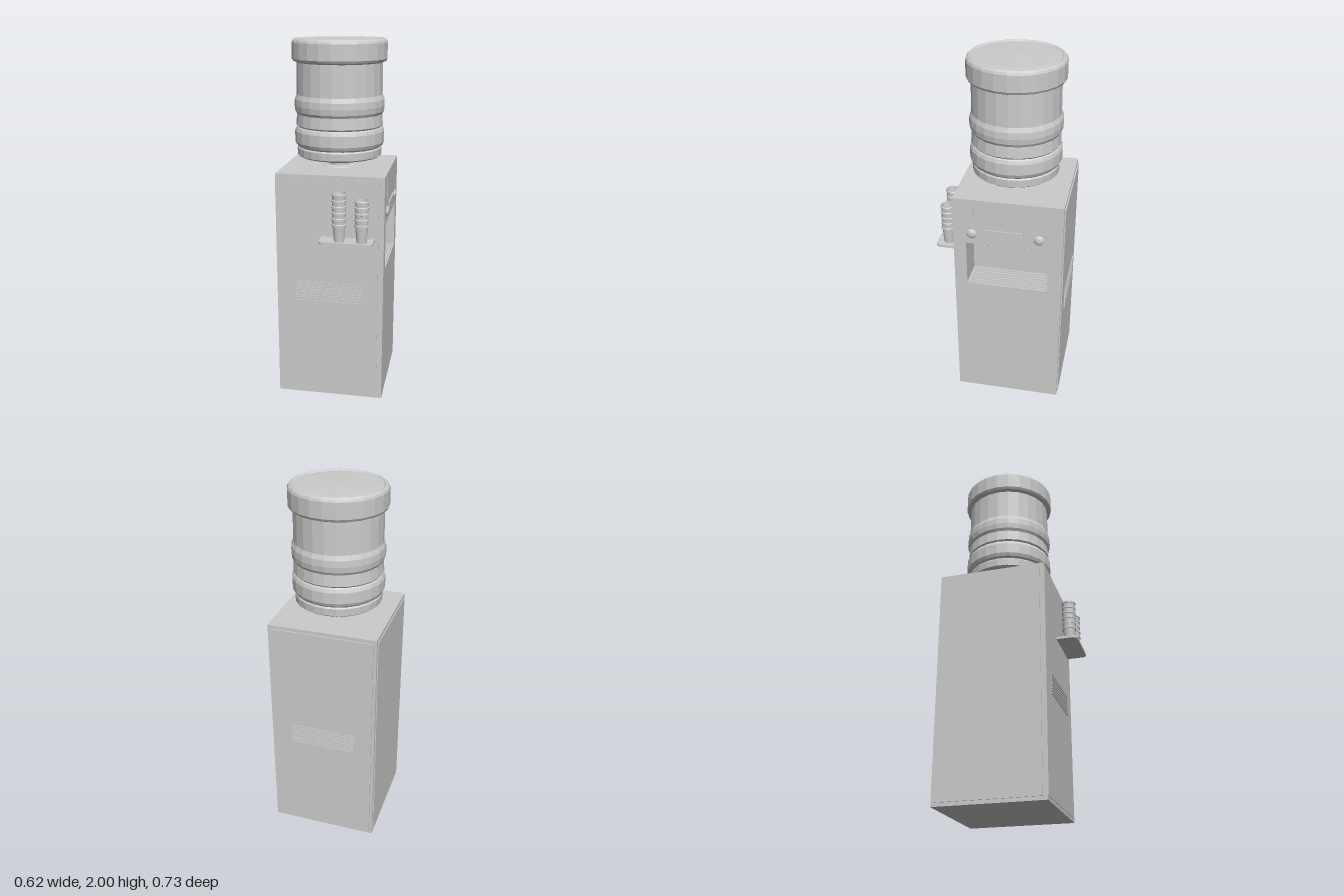
import * as THREE from 'three';
import { RoundedBoxGeometry } from 'three/addons/geometries/RoundedBoxGeometry.js';

const grey = new THREE.MeshStandardMaterial({ color: 0xcccccc });
const faceted = new THREE.MeshStandardMaterial({ color: 0xcccccc, flatShading: true, side: THREE.DoubleSide });

export function createModel() {
  const model = new THREE.Group();

  const add = (name, geometry, x = 0, y = 0, z = 0, material = grey) => {
    const mesh = new THREE.Mesh(geometry, material);
    mesh.name = name;
    mesh.position.set(x, y, z);
    model.add(mesh);
    return mesh;
  };
  // box given by its two extreme corners
  const box = (name, [x0, y0, z0], [x1, y1, z1]) =>
    add(name, new THREE.BoxGeometry(x1 - x0, y1 - y0, z1 - z0), (x0 + x1) / 2, (y0 + y1) / 2, (z0 + z1) / 2);
  const lathe = (name, points, sides, x, y, z) =>
    add(name, new THREE.LatheGeometry(points.map(p => new THREE.Vector2(...p)), sides), x, y, z, faceted);
  const rect = (Type, x0, y0, x1, y1) => new Type([[x0, y0], [x1, y0], [x1, y1], [x0, y1]]
    .map(p => new THREE.Vector2(...p)));

  // cabinet: solid rear block plus a side slab pierced by the dispensing recess
  box('cabinet', [-0.302, 0, -0.353], [0.13, 1.3, 0.245]);
  const side = rect(THREE.Shape, -0.245, 0, 0.353, 1.3);
  side.holes.push(rect(THREE.Path, -0.175, 0.765, 0.275, 1.03));
  const slab = new THREE.ExtrudeGeometry(side, { depth: 0.165, bevelEnabled: false });
  slab.rotateY(Math.PI / 2);
  add('dispenserSide', slab, 0.13);

  // thin outer panels
  box('frontPanel', [-0.302, 0.02, 0.24], [0.265, 1.28, 0.248]);
  box('backPanel', [-0.285, 0.02, -0.36], [0.275, 1.28, -0.35]);
  box('sidePanel', [-0.307, 0.02, -0.335], [-0.298, 1.28, 0.22]);

  // ventilation slats front and back
  for (const [name, z] of [['frontVent', 0.248], ['backVent', -0.36]])
    for (let i = 0; i < 8; i++)
      box(name, [-0.195, 0.572 + i * 0.0155, z - 0.005], [0.177, 0.581 + i * 0.0155, z + 0.005]);

  // drip grille on the recess floor
  for (let i = 0; i < 9; i++)
    box('dripGrille', [0.14 + i * 0.017, 0.76, -0.265], [0.149 + i * 0.017, 0.771, 0.165]);

  // control strip, trim line and knobs
  box('controlPanel', [0.29, 1.065, -0.14], [0.302, 1.125, 0.07]);
  box('trimLine', [0.29, 1.15, 0.129], [0.298, 1.28, 0.133]);
  for (const z of [0.142, -0.225]) {
    const knob = lathe('knob', [[0.028, 0], [0.028, 0.004], [0.022, 0.01], [0.012, 0.014], [0, 0.015]], 16, 0.294, 1.093, z);
    knob.rotation.z = -Math.PI / 2;
  }

  // taps hanging from the recess ceiling
  for (const z of [0.077, -0.167]) {
    add('tapMount', new THREE.BoxGeometry(0.05, 0.018, 0.05), 0.235, 1.021, z);
    add('tapSpout', new THREE.CylinderGeometry(0.016, 0.012, 0.04, 12), 0.235, 1.003, z);
    add('tapLever', new THREE.BoxGeometry(0.035, 0.008, 0.02), 0.265, 1.012, z);
  }

  // cup tray with rounded outer corners and raised rim
  const outline = (Type, x0, x1, z0, z1, r) => {
    const s = new Type();
    s.moveTo(x0, z0);
    s.lineTo(x0, z1 - r);
    s.quadraticCurveTo(x0, z1, x0 + r, z1);
    s.lineTo(x1 - r, z1);
    s.quadraticCurveTo(x1, z1, x1, z1 - r);
    s.lineTo(x1, z0);
    return s;
  };
  const tray = (name, hole, y, depth) => {
    const shape = outline(THREE.Shape, -0.045, 0.247, 0.24, 0.362, 0.03);
    if (hole) shape.holes.push(outline(THREE.Path, -0.022, 0.229, 0.25, 0.35, 0.004));
    const g = new THREE.ExtrudeGeometry(shape, { depth, bevelEnabled: false });
    g.rotateX(Math.PI / 2);
    add(name, g, 0, y, 0);
  };
  tray('cupTray', false, 0.957, 0.007);
  tray('trayRim', true, 0.964, 0.007);

  // two stacks of nested cups, open at the top
  for (const [x, rims] of [[0.06, 6], [0.182, 5]]) {
    const points = [[0, 0], [0.028, 0], [0.035, 0.088]];
    let y = 0.088;
    for (let i = 0; i < rims; i++) {
      points.push([0.04, y], [0.04, y + 0.009], [0.036, y + 0.012], [0.037, y + 0.032]);
      y += 0.033;
    }
    points.pop();
    points.pop();
    const top = y - 0.02;
    points.push([0.036, top], [0.027, top - 0.085], [0, top - 0.085]);
    lathe('cupStack', points, 20, x, 0.957, 0.302);
  }

  // inverted water bottle with neck, ribbed wall and thick base
  lathe('neckCollar', [[0, 0], [0.1, 0], [0.095, 0.006], [0.06, 0.01], [0.06, 0.03]], 24, 0, 1.297, -0.045);
  lathe('waterBottle', [
    [0.055, 1.3], [0.055, 1.325], [0.1, 1.328], [0.225, 1.357], [0.236, 1.365], [0.238, 1.405],
    [0.232, 1.413], [0.242, 1.422], [0.25, 1.44], [0.25, 1.5], [0.243, 1.518], [0.236, 1.525],
    [0.243, 1.533], [0.238, 1.595], [0.247, 1.61], [0.251, 1.64], [0.249, 1.675], [0.239, 1.7],
    [0.237, 1.872], [0.255, 1.88], [0.262, 1.892], [0.262, 1.978], [0.257, 1.99], [0.248, 1.998],
    [0.24, 1.998], [0.232, 1.992], [0.2, 1.995], [0, 2]
  ], 24, 0, 0, -0.045);

  return model;
}
